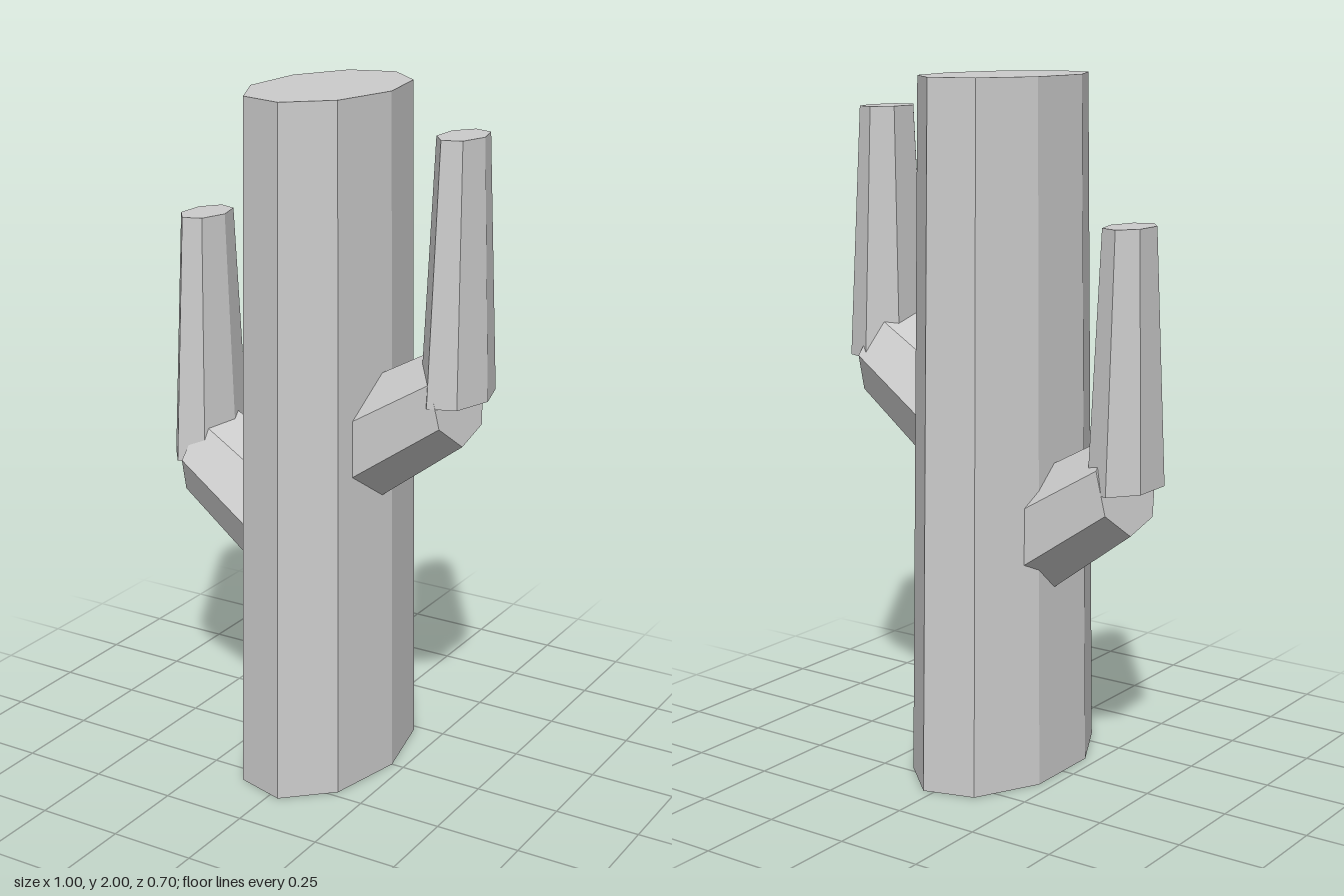
import * as THREE from 'three';

export function createModel() {
  const model = new THREE.Group();
  model.name = 'cactus';
  const grey = new THREE.MeshStandardMaterial({ color: 0xcccccc, flatShading: true });
  grey.name = 'light grey';

  const SQUASH = 0.617; // every part is narrower across x than along z
  const TILT = 0.381; // rise of the arm before the squash

  // Closed low-poly tapered column standing on y = 0
  const column = (top, bottom, height, sides, start) =>
    new THREE.CylinderGeometry(top, bottom, height, sides, 1, false, start)
      .translate(0, height / 2, 0);

  const addPart = (name, geometry, parent) => {
    const mesh = new THREE.Mesh(geometry, grey);
    mesh.name = name;
    parent.add(mesh);
  };

  // Trunk: nine sides, one corner pointing to +x
  const trunk = column(0.316, 0.355, 2, 9, Math.PI / 2).scale(SQUASH, 1, 1);
  addPart('trunk', trunk.translate(-0.007, 0, 0), model);

  // Arm: sloping branch whose outer end sits at (x, y), then an upright
  const addArm = (name, side, x, y) => {
    const arm = new THREE.Group();
    arm.name = name;
    const length = 0.56;
    const branch = column(0.152, 0.183, length, 7, Math.PI)
      .translate(0, -length, 0)
      .rotateZ(TILT - Math.PI / 2);
    if (side < 0) branch.rotateY(Math.PI);
    addPart('branch', branch.scale(SQUASH, 1, 1).translate(x, y, 0), arm);

    const upright = column(0.103, 0.148, 0.72, 7, Math.PI / 2).scale(SQUASH, 1, 1);
    addPart('upright', upright.translate(x, y - 0.007, 0), arm);
    model.add(arm);
  };
  addArm('leftArm', 1, 0.406, 1.19);
  addArm('rightArm', -1, -0.419, 0.892);

  return model;
}
